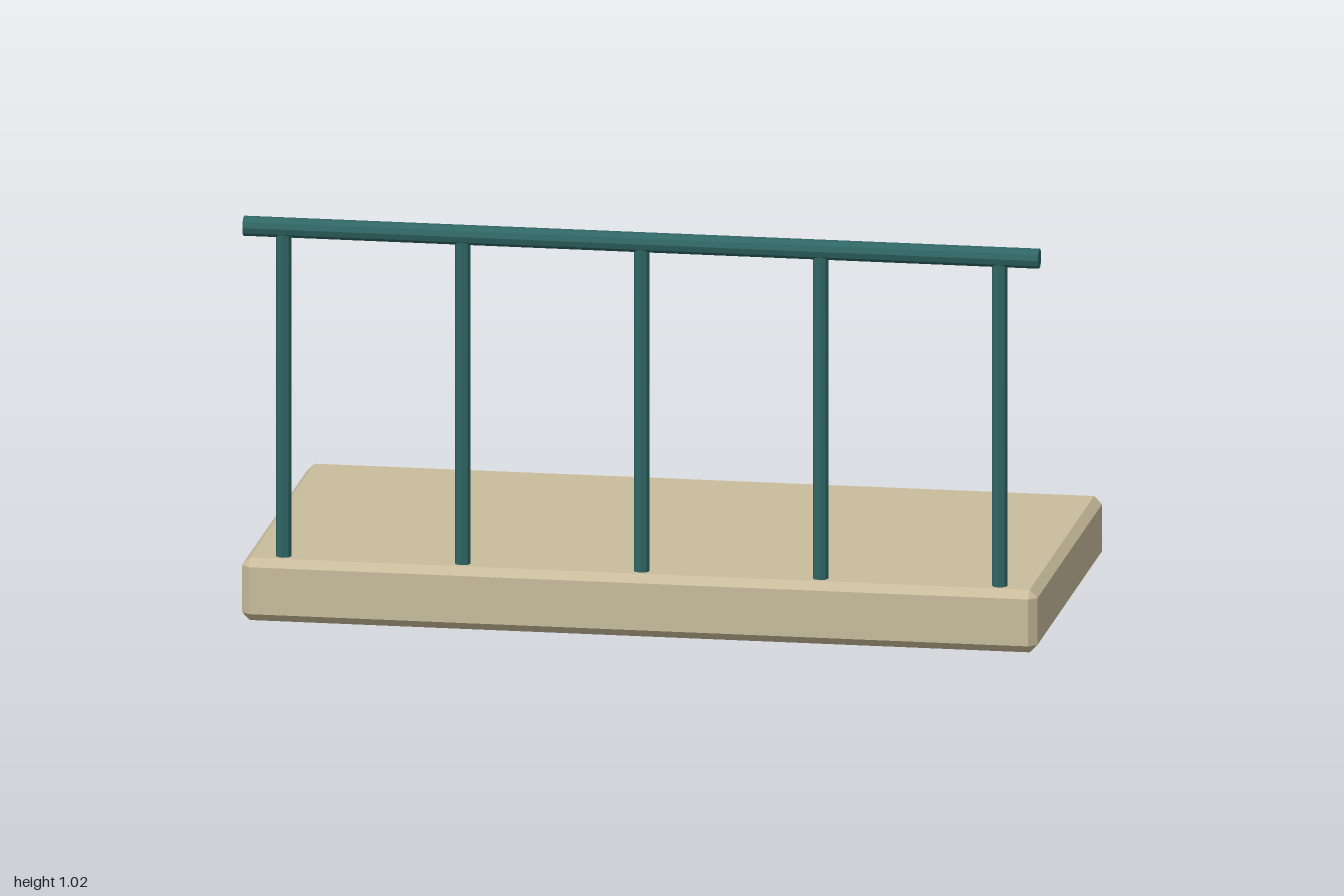
import * as THREE from 'three';
import { ConvexGeometry } from 'three/addons/geometries/ConvexGeometry.js';

const stone = new THREE.MeshStandardMaterial({ color: 0xc9bc9c });
stone.name = 'sandStone';
const paint = new THREE.MeshStandardMaterial({ color: 0x2f6664 });
paint.name = 'tealPaint';

// Box with every edge cut at 45 degrees
function chamferedBox(w, h, d, c) {
  const points = [];
  for (const sx of [-1, 1]) for (const sy of [-1, 1]) for (const sz of [-1, 1]) {
    for (let axis = 0; axis < 3; axis++) {
      const cut = [c, c, c];
      cut[axis] = 0;
      points.push(new THREE.Vector3(
        sx * (w / 2 - cut[0]), sy * (h / 2 - cut[1]), sz * (d / 2 - cut[2])));
    }
  }
  return new ConvexGeometry(points);
}

// Faceted bar
function bar(name, radius, length, sides) {
  const geometry = new THREE.CylinderGeometry(radius, radius, length, sides).toNonIndexed();
  geometry.computeVertexNormals();
  const mesh = new THREE.Mesh(geometry, paint);
  mesh.name = name;
  return mesh;
}

export function createModel() {
  const model = new THREE.Group();
  model.name = 'balcony';

  // Floor slab
  const slab = new THREE.Mesh(chamferedBox(2, 0.16, 1, 0.02), stone);
  slab.name = 'floorSlab';
  slab.position.y = 0.08;
  model.add(slab);

  // Railing along the front edge
  const railing = new THREE.Group();
  railing.name = 'railing';
  railing.position.z = 0.45;
  model.add(railing);

  const handrail = bar('handrail', 0.025, 2, 10);
  handrail.rotation.z = Math.PI / 2;
  handrail.position.y = 1;
  railing.add(handrail);

  for (let i = -2; i <= 2; i++) {
    const post = bar('post', 0.02, 0.84, 8);
    post.position.set(i * 0.45, 0.58, 0);
    railing.add(post);
  }

  return model;
}
